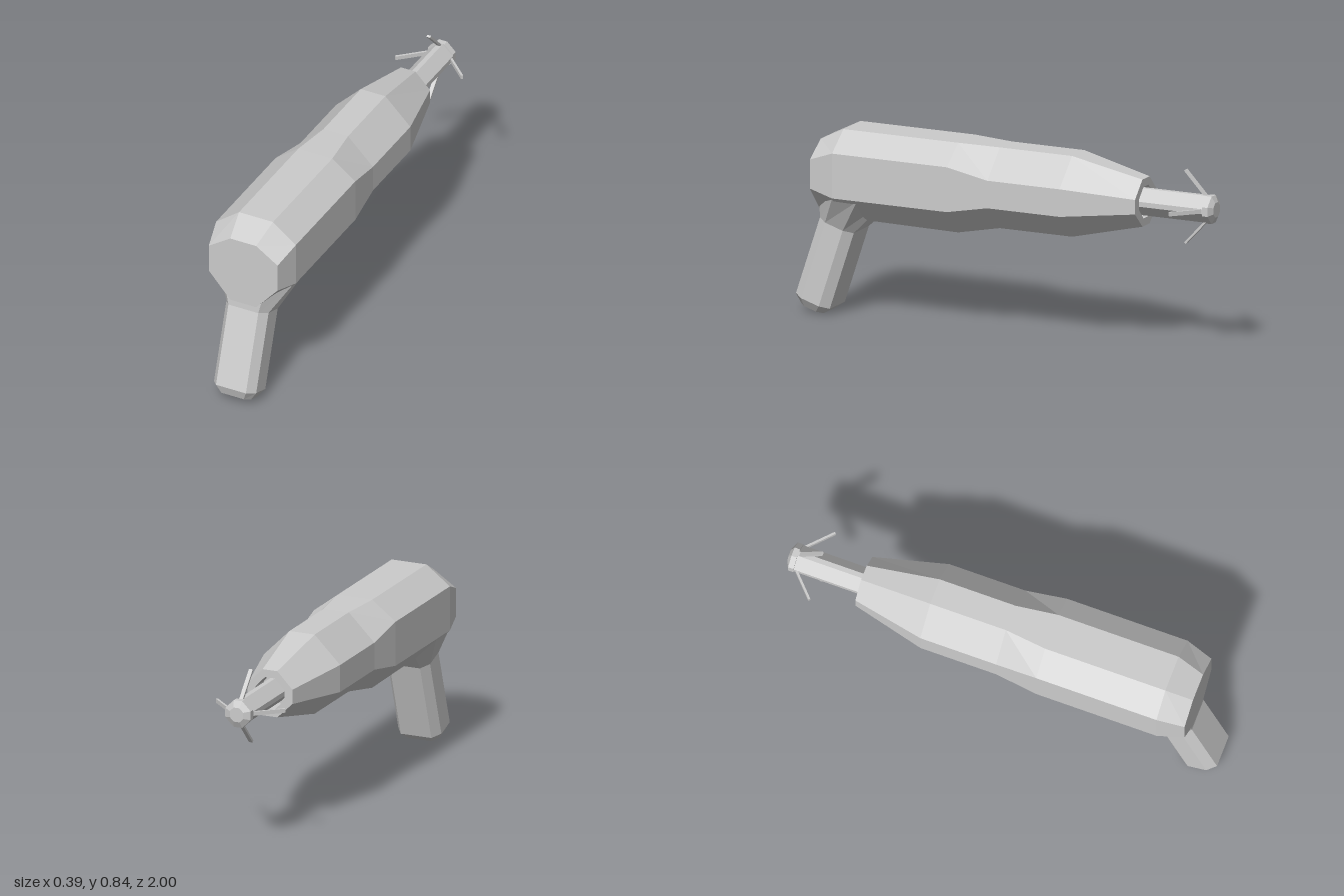
import * as THREE from 'three';

const material = new THREE.MeshStandardMaterial({ color: 0xcccccc, flatShading: true });
const V = (x, y, z) => new THREE.Vector3(x, y, z);

// Skin a run of matching closed cross-sections and cap both ends.
function loft(name, sections) {
  const pos = [];
  const tri = (...pts) => pts.forEach((p) => pos.push(p.x, p.y, p.z));
  const cap = (ring, flip) => {
    for (let i = 1; i < ring.length - 1; i++) {
      if (flip) tri(ring[0], ring[i + 1], ring[i]);
      else tri(ring[0], ring[i], ring[i + 1]);
    }
  };
  for (let s = 0; s < sections.length - 1; s++) {
    const a = sections[s], b = sections[s + 1], n = a.length;
    for (let i = 0; i < n; i++) {
      const j = (i + 1) % n;
      tri(a[i], b[i], a[j]);
      tri(a[j], b[i], b[j]);
    }
  }
  cap(sections[0], false);
  cap(sections[sections.length - 1], true);
  const geometry = new THREE.BufferGeometry();
  geometry.setAttribute('position', new THREE.Float32BufferAttribute(pos, 3));
  geometry.computeVertexNormals();
  const mesh = new THREE.Mesh(geometry, material);
  mesh.name = name;
  return mesh;
}

// Upright octagon: half width, half width of the flats, then four heights.
const bodyRing = (z, w, c, top, sideTop, sideLow, low) => [
  V(w, sideLow, z), V(w, sideTop, z), V(c, top, z), V(-c, top, z),
  V(-w, sideTop, z), V(-w, sideLow, z), V(-c, low, z), V(c, low, z),
];

// Octagon across the leaning grip: centre, half width, half depth, half flats.
function gripRing(y, z, w, d, flatX, flatD, tilt) {
  const point = (u, v) => V(u, y - v * Math.sin(tilt), z - v * Math.cos(tilt));
  return [
    point(w, -flatD), point(w, flatD), point(flatX, d), point(-flatX, d),
    point(-w, flatD), point(-w, -flatD), point(-flatX, -d), point(flatX, -d),
  ];
}

// Diamond with narrow blunted corners, centred on the shaft axis.
const AXIS_Y = 0.655;
const shaftRing = (z, r, b) => bodyRing(z, r, b,
  AXIS_Y + r, AXIS_Y + b, AXIS_Y - b, AXIS_Y - r);

export function createModel() {
  const model = new THREE.Group();
  model.name = 'hookLauncher';

  // Faceted barrel housing, ending in a recessed muzzle
  model.add(loft('body', [
    bodyRing(0.885, 0.168, 0.063, 0.78, 0.71, 0.58, 0.46),
    bodyRing(0.765, 0.195, 0.083, 0.84, 0.755, 0.555, 0.447),
    bodyRing(0.21, 0.195, 0.083, 0.84, 0.755, 0.555, 0.44),
    bodyRing(0.02, 0.182, 0.06, 0.835, 0.713, 0.59, 0.475),
    bodyRing(-0.33, 0.182, 0.06, 0.835, 0.713, 0.59, 0.475),
    bodyRing(-0.658, 0.107, 0.035, 0.76, 0.685, 0.62, 0.55),
    bodyRing(-0.658, 0.07, 0.024, 0.725, 0.677, 0.633, 0.585),
    bodyRing(-0.57, 0.07, 0.024, 0.725, 0.677, 0.633, 0.585),
  ]));

  // Grip flaring into the housing, with a chamfered foot
  const tilt = 0.314;
  model.add(loft('grip', [
    gripRing(0.55, 0.71, 0.185, 0.165, 0.1, 0.06, 0),
    gripRing(0.405, 0.802, 0.103, 0.086, 0.073, 0.045, tilt),
    gripRing(0.055, 0.918, 0.103, 0.086, 0.073, 0.045, tilt),
    gripRing(0.019, 0.93, 0.078, 0.058, 0.055, 0.03, tilt),
  ]));

  // Shaft and its blunt tip
  model.add(loft('shaft', [shaftRing(-0.57, 0.06, 0.011), shaftRing(-0.97, 0.06, 0.011)]));
  model.add(loft('tip', [
    shaftRing(-0.96, 0.061, 0.02),
    shaftRing(-0.985, 0.061, 0.02),
    shaftRing(-1.0, 0.032, 0.014),
  ]));

  // Four swept-back barbs around the tip
  const start = new THREE.Vector2(0.03, -0.975), end = new THREE.Vector2(0.163, -0.85);
  const length = start.distanceTo(end);
  for (let i = 0; i < 4; i++) {
    const barb = new THREE.Group();
    barb.name = 'barb' + (i + 1);
    const bar = new THREE.Mesh(new THREE.BoxGeometry(length, 0.018, 0.01), material);
    bar.name = 'barbBar' + (i + 1);
    bar.position.set((start.x + end.x) / 2, 0, (start.y + end.y) / 2);
    bar.rotation.y = -Math.atan2(end.y - start.y, end.x - start.x);
    barb.add(bar);
    barb.position.y = AXIS_Y;
    barb.rotation.z = (i * Math.PI) / 2;
    model.add(barb);
  }
  return model;
}
